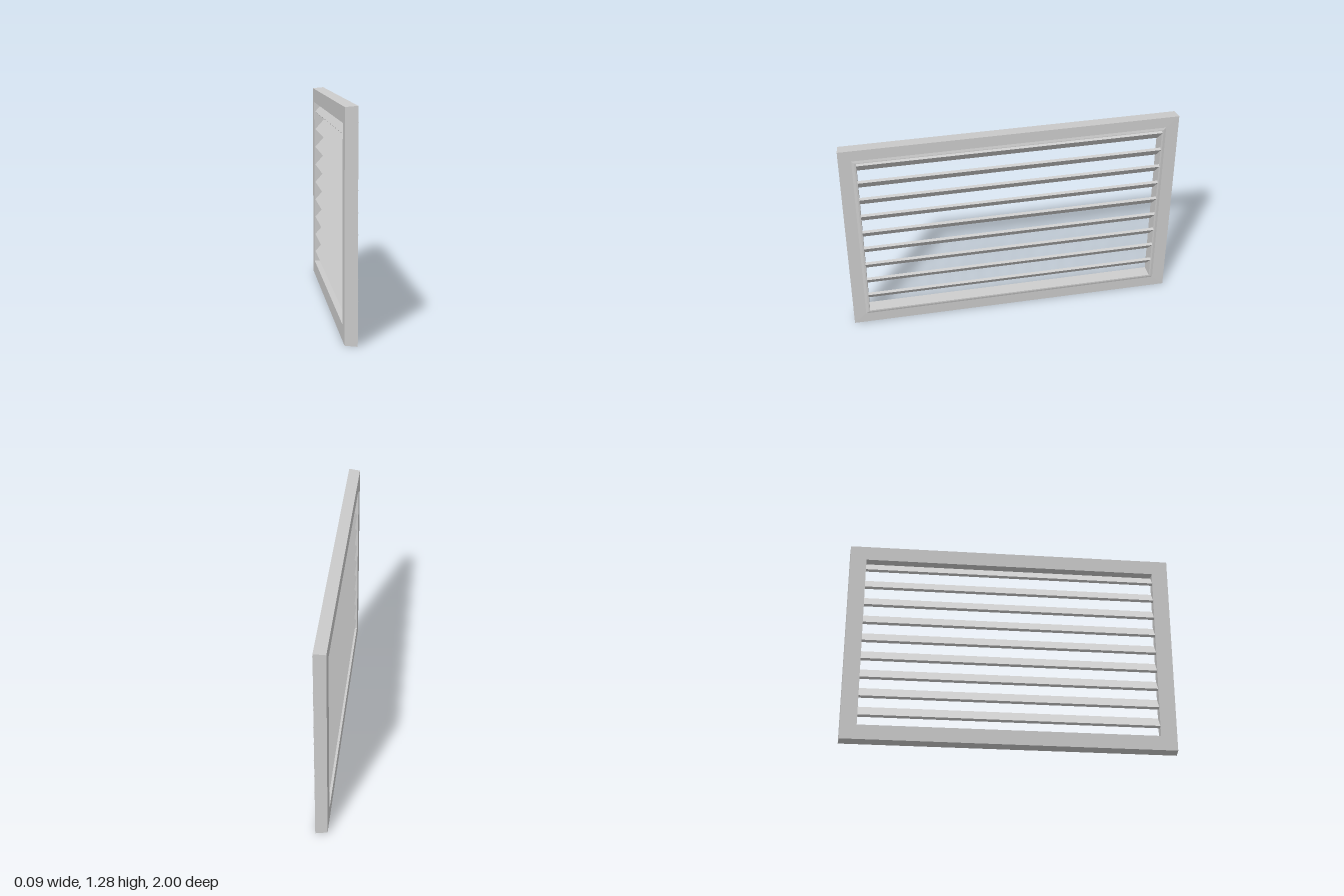
import * as THREE from 'three';

const material = new THREE.MeshStandardMaterial({ color: 0xcccccc });

// Mitred rectangular frame: one cross-section swept around four corners.
function frameGeometry() {
  // [fraction of bar width from outer edge, x]
  const profile = [[0, 0.025], [0.75, 0.026], [0.9, 0.03], [1, 0.03], [1.05, -0.045], [0.07, -0.045]];
  const corners = [[-1, 1], [-1, -1], [1, -1], [1, 1]]; // signs of y, z
  const point = ([t, x], [sy, sz]) => [x, 0.64 + sy * (0.64 - 0.091 * t), sz * (1 - 0.1 * t)];
  const positions = [];
  profile.forEach((p, i) => {
    const q = profile[(i + 1) % profile.length];
    corners.forEach((c, k) => {
      const d = corners[(k + 1) % 4];
      const [v0, v1, v2, v3] = [point(p, c), point(p, d), point(q, d), point(q, c)];
      positions.push(...v0, ...v1, ...v2, ...v0, ...v2, ...v3);
    });
  });
  const geometry = new THREE.BufferGeometry();
  geometry.setAttribute('position', new THREE.Float32BufferAttribute(positions, 3));
  geometry.computeVertexNormals();
  return geometry;
}

export function createModel() {
  const group = new THREE.Group();
  group.name = 'louverVent';

  const frame = new THREE.Mesh(frameGeometry(), material);
  frame.name = 'frame';
  group.add(frame);

  // Tilted slats, high at +x and low at -x
  const slats = new THREE.Group();
  slats.name = 'slats';
  const slatGeometry = new THREE.BoxGeometry(0.1, 0.016, 1.8);
  slatGeometry.rotateZ(THREE.MathUtils.degToRad(48));
  for (let i = 0; i < 9; i++) {
    const slat = new THREE.Mesh(slatGeometry, material);
    slat.name = `slat${i + 1}`;
    slat.position.set(0.001, 0.193 + i * 0.12, 0);
    slats.add(slat);
  }
  group.add(slats);
  return group;
}
